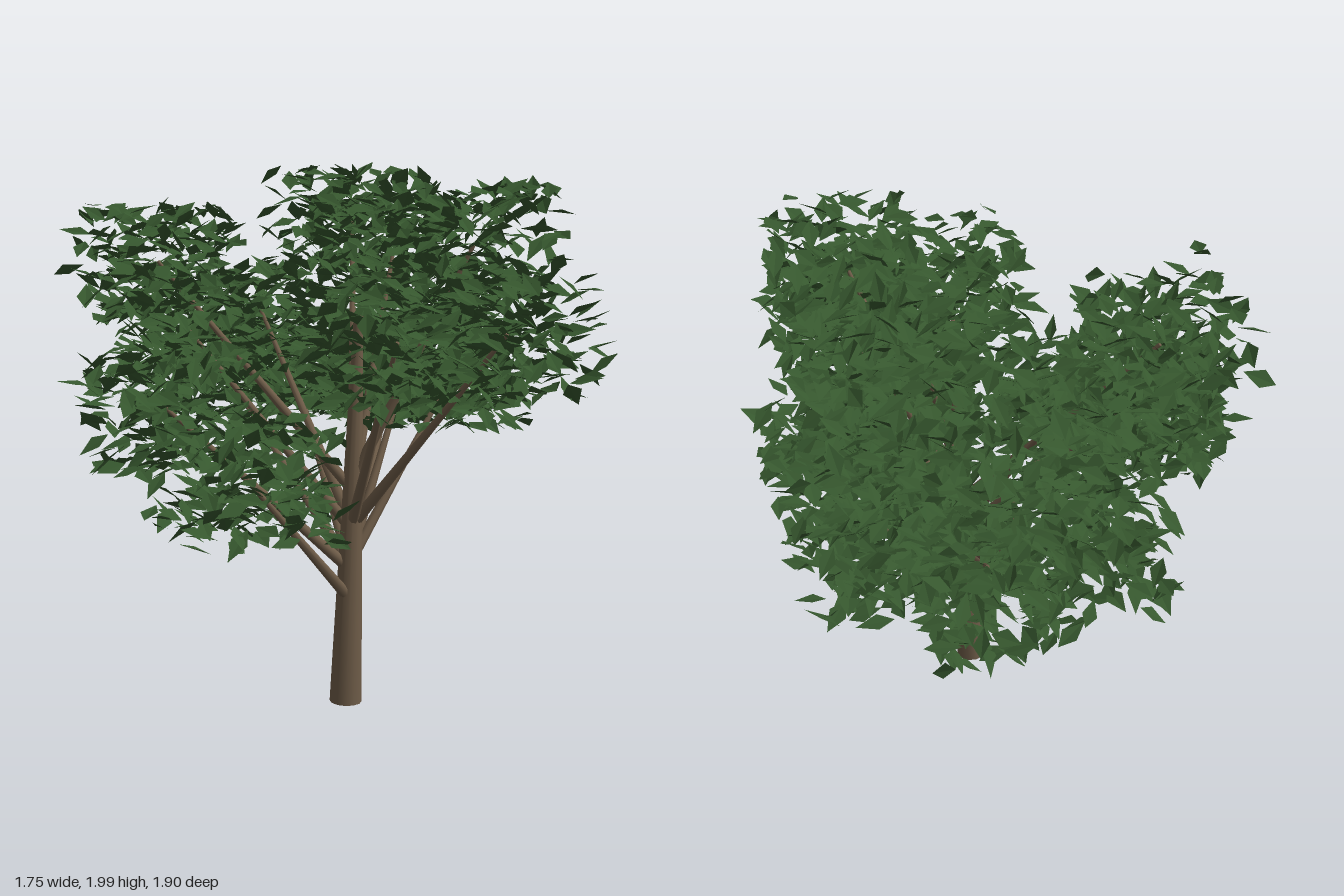
import * as THREE from 'three';

const bark = new THREE.MeshStandardMaterial({ color: 0x6e5c48 });
bark.name = 'bark brown';
const leafGreen = new THREE.MeshStandardMaterial({ color: 0x36572e, side: THREE.DoubleSide, flatShading: true });
leafGreen.name = 'leaf green';

// Small seeded random generator
let seed = 7;
function rand(a, b) {
  seed = (seed * 16807) % 2147483647;
  return a + (b - a) * (seed / 2147483647);
}

// Tapered limb between two points
function limb(name, from, to, r0, r1, sides) {
  const dir = to.clone().sub(from);
  const mesh = new THREE.Mesh(new THREE.CylinderGeometry(r1, r0, dir.length(), sides), bark);
  mesh.position.copy(from).add(to).multiplyScalar(0.5);
  mesh.quaternion.setFromUnitVectors(new THREE.Vector3(0, 1, 0), dir.normalize());
  mesh.name = name;
  return mesh;
}

// Block of scattered leaves, each a kite folded along its midrib
function leafCluster(center, count) {
  const positions = [];
  const m = new THREE.Matrix4();
  const q = new THREE.Quaternion();
  const one = new THREE.Vector3(1, 1, 1);
  for (let i = 0; i < count; i++) {
    const p = new THREE.Vector3(rand(-0.255, 0.255), rand(-0.2, 0.2), rand(-0.255, 0.255)).add(center);
    q.setFromEuler(new THREE.Euler(rand(-0.75, 0.75), rand(0, Math.PI * 2), rand(-0.7, 0.7), 'YXZ'));
    m.compose(p, q, one);
    const len = rand(0.05, 0.066), w = rand(0.026, 0.035);
    const base = new THREE.Vector3(0, 0, -len), tip = new THREE.Vector3(0, 0, len);
    const left = new THREE.Vector3(w, 0.006, -len * 0.15), right = new THREE.Vector3(-w, 0.006, -len * 0.15);
    for (const v of [base, tip, left, base, right, tip]) {
      const t = v.clone().applyMatrix4(m);
      positions.push(t.x, t.y, t.z);
    }
  }
  const geo = new THREE.BufferGeometry();
  geo.setAttribute('position', new THREE.Float32BufferAttribute(positions, 3));
  geo.computeVertexNormals();
  const mesh = new THREE.Mesh(geo, leafGreen);
  mesh.name = 'leafCluster';
  return mesh;
}

export function createModel() {
  const tree = new THREE.Group();
  tree.name = 'tree';

  // Trunk, leaning slightly
  const foot = new THREE.Vector3(0.07, 0, 0.13);
  const top = new THREE.Vector3(0.12, 1.46, 0.125);
  tree.add(limb('trunk', foot, top, 0.06, 0.017, 12));

  // Centres of the leaf clusters, each fed by one branch
  const clusters = [
    [-0.48, 0.97, 0.41],
    [-0.58, 1.15, -0.01],
    [-0.48, 1.64, -0.29],
    [-0.38, 1.4, -0.28],
    [-0.04, 1.42, 0.64],
    [0.41, 1.42, 0.63],
    [0.41, 1.71, 0.42],
    [0.36, 1.76, -0.33],
    [0.45, 1.65, -0.17],
    [-0.02, 1.43, -0.37],
    [-0.05, 1.17, -0.65],
    [0.27, 1.17, -0.66],
    [0.57, 1.18, -0.34],
    [0.58, 1.2, 0.06],
    [0.44, 1.22, -0.05],
    [0.42, 1.2, -0.38],
  ];

  const branches = new THREE.Group();
  branches.name = 'branches';
  const foliage = new THREE.Group();
  foliage.name = 'foliage';
  for (const c of clusters) {
    const center = new THREE.Vector3(...c);
    const startY = 0.4 + 0.61 * (center.y - 0.97);
    const start = foot.clone().lerp(top, startY / top.y);
    branches.add(limb('branch', start, center, 0.022, 0.007, 8));
    foliage.add(leafCluster(center, 260));
  }
  tree.add(branches, foliage);
  return tree;
}
